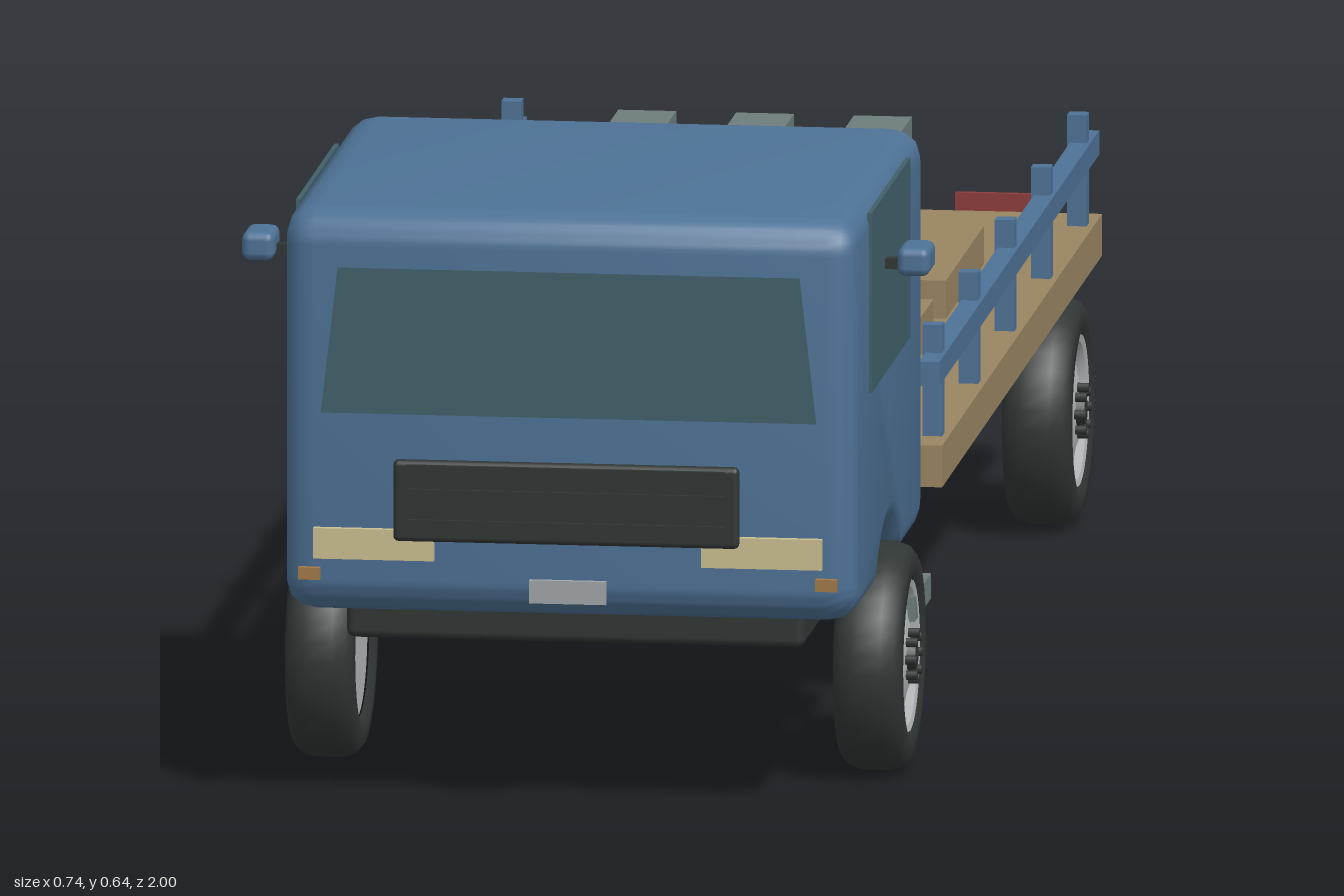
import * as THREE from 'three';
import { toCreasedNormals } from 'three/addons/utils/BufferGeometryUtils.js';
import { RoundedBoxGeometry } from 'three/addons/geometries/RoundedBoxGeometry.js';

const mat = (name, color, side = THREE.FrontSide) => {
  const m = new THREE.MeshStandardMaterial({ color, side });
  m.name = name;
  return m;
};

export function createModel() {
  const blue = mat('blue paint', 0x4e7296);
  const tan = mat('tan deck', 0x9a8562);
  const dark = mat('dark rubber', 0x303634);
  const grey = mat('grey', 0x6e7d7d);
  const glass = mat('glass', 0x41606a, THREE.DoubleSide);
  const cream = mat('cream lamp', 0xcbbf92);
  const silver = mat('silver', 0xb2b6b6);
  const red = mat('red lamp', 0x8c3c3c);
  const amber = mat('amber lamp', 0xa17a48);
  const plateGrey = mat('plate grey', 0xa0a6a8);

  const model = new THREE.Group();
  model.name = 'flatbedTruck';

  const add = (name, geometry, material, parent = model) => {
    const mesh = new THREE.Mesh(geometry, material);
    mesh.name = name;
    parent.add(mesh);
    return mesh;
  };
  // Box given by its lower and upper limits on each axis; r rounds the edges
  const box = (name, material, [x0, x1], [y0, y1], [z0, z1], r = 0) => {
    const size = [x1 - x0, y1 - y0, z1 - z0];
    const g = r ? new RoundedBoxGeometry(...size, 2, r) : new THREE.BoxGeometry(...size);
    g.translate((x0 + x1) / 2, (y0 + y1) / 2, (z0 + z1) / 2);
    return add(name, g, material);
  };
  // The same box on both sides of the truck
  const pair = (name, material, [x0, x1], y, z, r) => {
    box('left' + name, material, [x0, x1], y, z, r);
    box('right' + name, material, [-x1, -x0], y, z, r);
  };

  // Cab: side profile with wheel arches, bevelled and extruded across
  const b = 0.025, t = 0.032, r = 0.014, half = 0.305;
  const z0 = 0.394 + b, z1 = 0.967 - b, y0 = 0.213 + b, y1 = 0.648 - b;
  const axleZ = 0.665, axleY = 0.125, archR = 0.14 + b;
  const a = Math.asin((y0 - axleY) / archR);
  const profile = new THREE.Shape();
  profile.moveTo(z0 + r, y0);
  profile.absarc(axleZ, axleY, archR, Math.PI - a, a, true);
  profile.absarc(z1 - r, y0 + r, r, -Math.PI / 2, 0);
  profile.absarc(z1 - r, y1 - r, r, 0, Math.PI / 2);
  profile.absarc(z0 + r, y1 - r, r, Math.PI / 2, Math.PI);
  profile.absarc(z0 + r, y0 + r, r, Math.PI, Math.PI * 1.5);
  const cab = new THREE.ExtrudeGeometry(profile, {
    depth: 2 * (half - t), bevelSize: b, bevelThickness: t, bevelSegments: 3, curveSegments: 5,
  });
  cab.translate(0, 0, t - half).rotateY(-Math.PI / 2).translate(t, 0, 0);
  cab.computeBoundingBox();
  cab.translate(-(cab.boundingBox.min.x + cab.boundingBox.max.x) / 2, 0, 0);
  add('cab', toCreasedNormals(cab, 0.6), blue);

  // Windscreen and door windows
  const screen = new THREE.Shape([[-0.265, 0.431], [0.265, 0.431], [0.247, 0.588], [-0.247, 0.588]]
    .map(p => new THREE.Vector2(...p)));
  add('windscreen', new THREE.ShapeGeometry(screen), glass).position.z = 0.971;
  pair('DoorWindow', glass, [0.303, 0.308], [0.442, 0.636], [0.525, 0.844]);

  // Mirrors on short arms
  pair('MirrorArm', dark, [0.318, 0.338], [0.57, 0.581], [0.797, 0.812]);
  pair('Mirror', blue, [0.333, 0.368], [0.566, 0.597], [0.775, 0.835], 0.009);

  // Grille with slats
  box('grille', dark, [-0.185, 0.185], [0.298, 0.386], [0.982, 0.996], 0.006);
  for (const y of [0.32, 0.353, 0.379]) {
    box('grilleSlat', dark, [-0.17, 0.17], [y - 0.003, y + 0.003], [0.99, 1]);
  }

  // Lamps and plates, front and rear
  pair('Headlight', cream, [0.143, 0.272], [0.275, 0.308], [0.973, 0.981]);
  pair('Indicator', amber, [0.265, 0.288], [0.252, 0.265], [0.973, 0.981]);
  box('frontPlate', plateGrey, [-0.041, 0.041], [0.232, 0.257], [0.974, 0.98]);
  pair('TailLight', red, [0.16, 0.27], [0.276, 0.308], [-1, -0.993]);
  box('rearPlate', plateGrey, [-0.041, 0.041], [0.232, 0.257], [-1, -0.994]);

  // Chassis, underside panel and steps
  box('chassis', dark, [-0.245, 0.245], [0.178, 0.235], [-0.93, 0.918], 0.009);
  box('undersidePanel', grey, [-0.212, 0.212], [0.165, 0.182], [-0.82, 0.82], 0.006);
  pair('Step', grey, [0.272, 0.325], [0.153, 0.18], [0.485, 0.62]);

  // Load deck with side rails on posts
  box('deck', tan, [-0.32, 0.32], [0.248, 0.293], [-0.971, 0.355]);
  pair('Rail', blue, [0.295, 0.317], [0.357, 0.383], [-0.971, 0.355]);
  for (let i = 0; i < 5; i++) {
    const z = 0.292 - 0.3 * i;
    pair('RailPost', blue, [0.292, 0.313], [0.29, 0.413], [z - 0.01, z + 0.01]);
  }

  // Two pallets, each carrying three blocks
  for (const z of [-0.098, -0.517]) {
    box('pallet', tan, [-0.232, 0.232], [0.29, 0.334], [z - 0.157, z + 0.157]);
    for (const x of [-0.126, 0, 0.126]) {
      box('cargoBlock', grey, [x - 0.031, x + 0.031], [0.33, 0.453], [z - 0.141, z + 0.141]);
    }
  }

  // Wheels: turned tyre and dished rim, with a bolted hub
  const lathe = (pts, crease) => toCreasedNormals(
    new THREE.LatheGeometry(pts.map(p => new THREE.Vector2(...p)), 36), crease);
  const tyre = lathe([[0.08, -0.03], [0.09, -0.037], [0.108, -0.036], [0.117, -0.029], [0.122, -0.016],
    [0.122, 0.016], [0.117, 0.029], [0.108, 0.036], [0.09, 0.037], [0.08, 0.03]], 0.7);
  const rim = lathe([[0, -0.028], [0.081, -0.028], [0.081, 0.033], [0.074, 0.031], [0.066, 0.023],
    [0.045, 0.027], [0.034, 0.031], [0, 0.031]], 0.5);
  const hub = new THREE.CylinderGeometry(0.014, 0.017, 0.012, 18);
  const bolt = new THREE.CylinderGeometry(0.005, 0.005, 0.012, 8);
  for (const side of [1, -1]) {
    for (const z of [axleZ, -0.737]) {
      const wheel = new THREE.Group();
      wheel.name = (side > 0 ? 'left' : 'right') + (z > 0 ? 'Front' : 'Rear') + 'Wheel';
      add('tyre', tyre, dark, wheel);
      add('rim', rim, silver, wheel);
      add('hub', hub, dark, wheel).position.y = 0.034;
      for (let i = 0; i < 8; i++) {
        const q = i * Math.PI / 4;
        add('wheelBolt', bolt, dark, wheel).position.set(0.025 * Math.cos(q), 0.037, 0.025 * Math.sin(q));
      }
      wheel.position.set(side * 0.293, axleY, z);
      wheel.rotation.z = -side * Math.PI / 2;
      model.add(wheel);
    }
  }

  return model;
}
